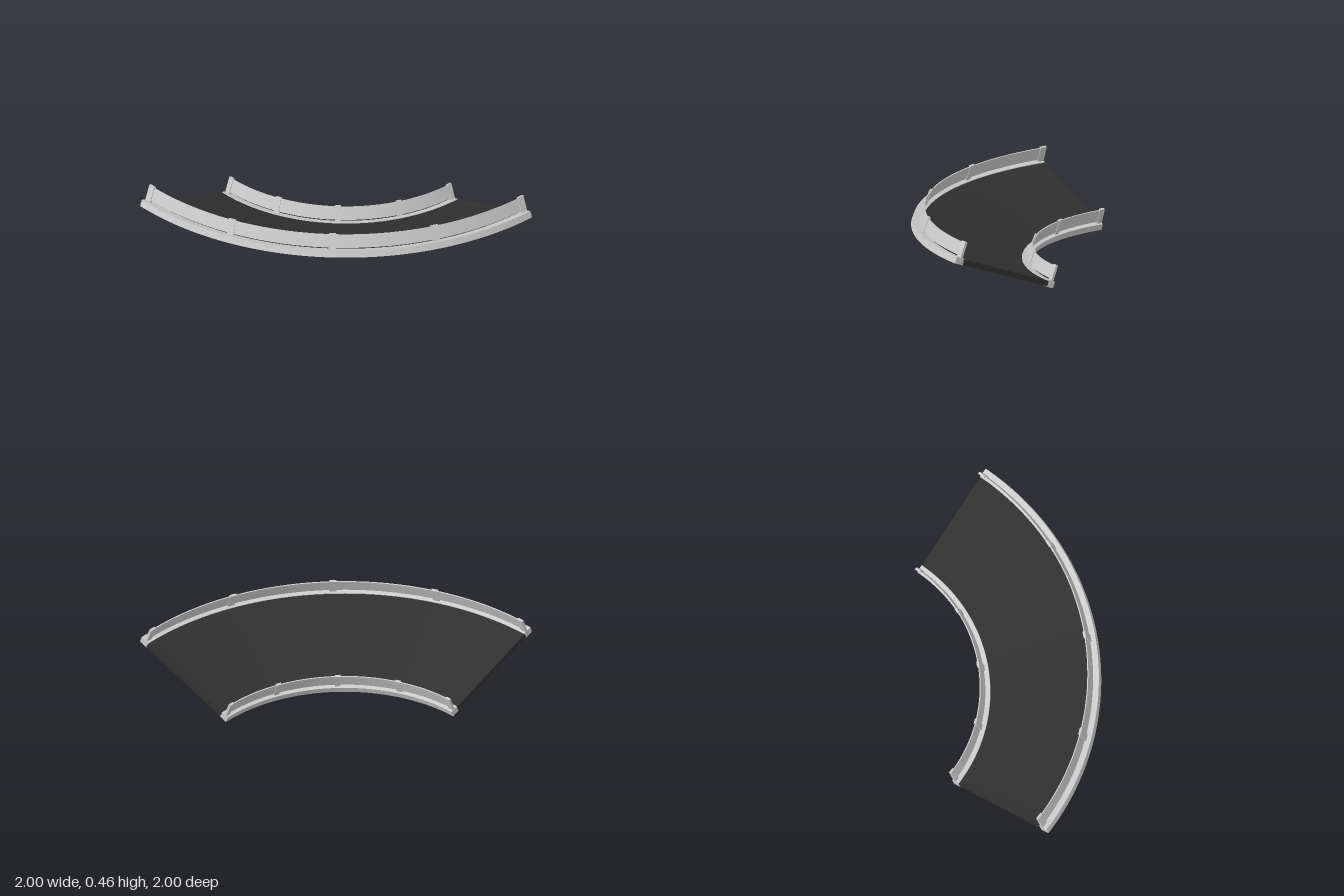
import * as THREE from 'three';
import { mergeGeometries, toCreasedNormals } from 'three/addons/utils/BufferGeometryUtils.js';

const R_IN = 1.16, R_OUT = 2.0, RISE = 0.31;
const BANK = Math.atan2(RISE, R_OUT - R_IN);
const LENGTH = Math.hypot(RISE, R_OUT - R_IN);
const CURB_H = 0.05, SEGMENTS = 64;

// Banked coordinates (u along the slope, n away from it) to radius and height
const banked = (u, n) => new THREE.Vector2(
  R_IN + u * Math.cos(BANK) - n * Math.sin(BANK),
  u * Math.sin(BANK) + n * Math.cos(BANK));

// Sweep a banked rectangle through a quarter turn and close both ends
function sweep(u0, u1, n0, n1) {
  const profile = [banked(u0, n0), banked(u1, n0), banked(u1, n1), banked(u0, n1)];
  const body = new THREE.LatheGeometry([...profile, profile[0]], SEGMENTS, 0, Math.PI / 2);
  const startCap = new THREE.ShapeGeometry(new THREE.Shape(profile)).rotateY(-Math.PI / 2);
  const endCap = new THREE.ShapeGeometry(new THREE.Shape(profile));
  endCap.setIndex(Array.from(endCap.index.array).reverse());
  const parts = [body, startCap, endCap].map(g => g.toNonIndexed());
  return toCreasedNormals(mergeGeometries(parts), 0.5);
}

export function createModel() {
  const model = new THREE.Group();
  model.name = 'bankedCurve';
  const grey = new THREE.MeshStandardMaterial({ color: 0xcccccc });
  const asphalt = new THREE.MeshStandardMaterial({ color: 0x303030 });

  const add = (parent, geometry, material, name) => {
    const mesh = new THREE.Mesh(geometry, material);
    mesh.name = name;
    parent.add(mesh);
    return mesh;
  };

  // The centre of the turn lies at the back right corner
  const turn = new THREE.Group();
  turn.name = 'turn';
  turn.position.set(-1, 0, -1);
  model.add(turn);

  // Road slab between the curbs
  add(turn, sweep(0.055, LENGTH - 0.065, 0.004, 0.044), asphalt, 'road');

  // Each side: curb, rail floating just above it, and five posts
  const sides = [
    { name: 'inner', u0: 0, u1: 0.06, railU: 0.024, postWidth: 0.04 },
    { name: 'outer', u0: LENGTH - 0.07, u1: LENGTH, railU: LENGTH - 0.044, postWidth: 0.052 },
  ];
  for (const { name, u0, u1, railU, postWidth } of sides) {
    add(turn, sweep(u0, u1, 0, CURB_H), grey, name + 'Curb');
    add(turn, sweep(railU - 0.004, railU + 0.004, CURB_H + 0.013, CURB_H + 0.112), grey, name + 'Rail');

    const postHeight = 0.12;
    const centre = banked(railU, CURB_H + postHeight / 2);
    const inset = postWidth / 2 / centre.x;
    const postGeometry = new THREE.BoxGeometry(0.018, postHeight, postWidth);
    for (let i = 0; i < 5; i++) {
      const phi = THREE.MathUtils.clamp(i * Math.PI / 8, inset, Math.PI / 2 - inset);
      const arm = new THREE.Group();
      arm.name = name + 'Post' + (i + 1);
      arm.rotation.y = phi - Math.PI / 2;
      const post = add(arm, postGeometry, grey, 'post');
      post.position.set(centre.x, centre.y, 0);
      post.rotation.z = BANK;
      turn.add(arm);
    }
  }
  return model;
}
